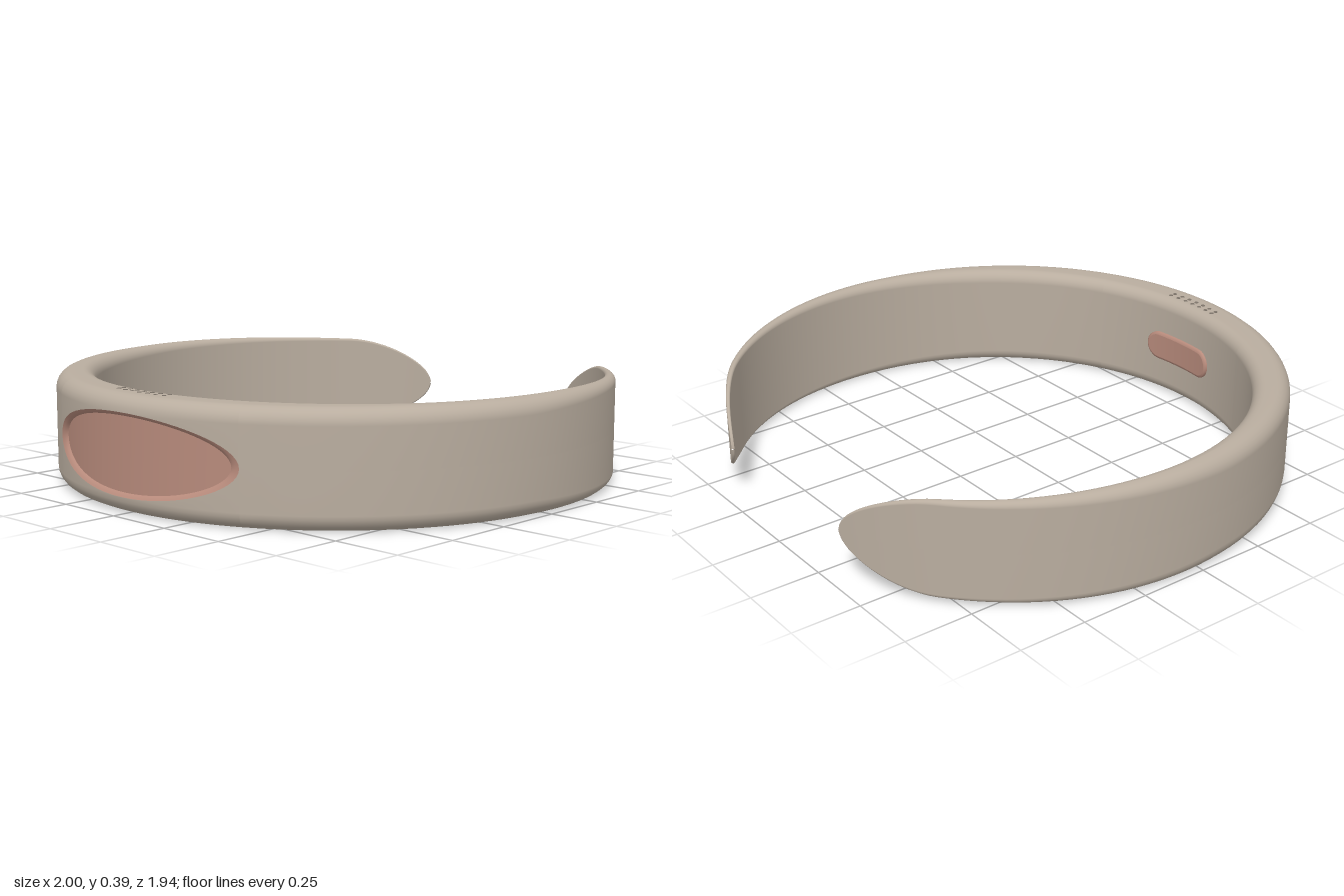
import * as THREE from 'three';

const CY = 0.195;            // mid height of the band
const CZ = -0.035;           // centre of the outer circle
const HOLE = [0.445, 0.139]; // half width and half height of the front recess
const N = 64;                // points around each inset outline

const bodyMat = new THREE.MeshStandardMaterial({ color: 0xb9ad9f });
bodyMat.name = 'warm grey';
const accentMat = new THREE.MeshStandardMaterial({ color: 0xb88b7c });
accentMat.name = 'dusty rose';
const dotMat = new THREE.MeshStandardMaterial({ color: 0x7d746a });
dotMat.name = 'dark taupe';

// Point on a cylinder around the band's axis; angle 0 faces the front
const polar = (a, r, y) => [r * Math.sin(a), CY + y, r * Math.cos(a) + CZ];

// The inner circle is offset, so the band thins toward its open ends
const innerRadius = (a) => -0.075 * Math.cos(a) + Math.sqrt(0.92 ** 2 - (0.075 * Math.sin(a)) ** 2);

function makeMesh(name, pos, idx, mat) {
  const g = new THREE.BufferGeometry();
  g.setAttribute('position', new THREE.Float32BufferAttribute(pos, 3));
  g.setIndex(idx);
  g.computeVertexNormals();
  const m = new THREE.Mesh(g, mat);
  m.name = name;
  return m;
}

// Half height of the band: slight taper, then a rounded tip
function halfHeight(a) {
  const z = Math.cos(a) + CZ;
  let h = 0.195 - 0.02 * (Math.min(z, 0) / 0.8) ** 2;
  if (z < -0.8) h *= Math.sqrt(Math.max(0, 1 - ((z + 0.8) / 0.1735) ** 2));
  return Math.max(h, 0.002);
}

// Cross-section from the upper lip of the recess, over the top, down the inside and back
function section(a) {
  const h = halfHeight(a), ri = innerRadius(a), t = 1 - ri;
  const ro = Math.min(0.055, 0.6 * t, h), rn = Math.min(0.045, 0.38 * t, h);
  const k = 1 - (Math.sin(a) / HOLE[0]) ** 2;
  const e = Math.cos(a) > 0 && k > 1e-9 ? HOLE[1] * Math.sqrt(k) : 0;
  const upper = [[1, e]];
  for (let i = 0; i <= 6; i++) {
    const q = (i / 6) * Math.PI / 2;
    upper.push([1 - ro + ro * Math.cos(q), h - ro + ro * Math.sin(q)]);
  }
  for (let i = 0; i <= 6; i++) {
    const q = (i / 6) * Math.PI / 2;
    upper.push([ri + rn - rn * Math.sin(q), h - rn + rn * Math.cos(q)]);
  }
  const lower = upper.map(([r, y]) => [r, -y]).reverse();
  return [...upper, ...lower].map(([r, y]) => polar(a, r, y));
}

function band() {
  const start = Math.asin(HOLE[0]), end = 2.789, sides = 56;
  const angles = [];
  for (let i = 0; i <= N / 2; i++) angles.push(Math.asin(-HOLE[0] * Math.cos((2 * Math.PI * i) / N)));
  for (let i = 1; i <= sides; i++) {
    const a = start + (end - start) * (1 - (1 - i / sides) ** 1.6);
    angles.push(a);
    angles.unshift(-a);
  }
  const rows = angles.map(section), n = rows[0].length, idx = [];
  for (let i = 0; i < rows.length - 1; i++) {
    for (let j = 0; j < n - 1; j++) {
      const a = i * n + j, b = a + n;
      idx.push(a, b, b + 1, a, b + 1, a + 1);
    }
  }
  return makeMesh('band', rows.flat(2), idx, bodyMat);
}

// Curved inset: nested outlines joined by strips, the last one filled across
function inset(name, rings, outline, inward) {
  const pos = [], idx = [];
  const tri = (a, b, c) => (inward ? idx.push(a, c, b) : idx.push(a, b, c));
  rings.push(rings[rings.length - 1]); // doubled ring keeps the face edge crisp
  rings.forEach(([w, h, radius], k) => {
    for (let i = 0; i < N; i++) {
      const [x, y] = outline((2 * Math.PI * i) / N, w, h);
      const r = radius(x);
      pos.push(...polar(Math.asin(x / r), r, y));
      if (k === rings.length - 1) continue;
      const a = k * N + i, b = k * N + ((i + 1) % N);
      tri(a, b, a + N);
      tri(b, b + N, a + N);
    }
  });
  const base = (rings.length - 1) * N;
  for (let i = 0; i < N / 2; i++) {
    const p = base + i, q = base + ((N - i) % N), s = base + N - i - 1;
    tri(p, p + 1, s);
    if (i > 0) tri(p, s, q);
  }
  return makeMesh(name, pos, idx, accentMat);
}

const ellipse = (t, w, h) => [w * Math.cos(t), h * Math.sin(t)];
const pill = (t, w, h) => {
  const x = w * Math.cos(t), over = Math.max(0, Math.abs(x) - (w - h));
  return [x, Math.sign(Math.sin(t)) * Math.sqrt(Math.max(0, h * h - over * over))];
};

export function createModel() {
  const model = new THREE.Group();
  model.name = 'cuffBracelet';
  model.add(band());

  // Shallow oval recess on the front
  model.add(inset('frontRecess', [
    [HOLE[0], HOLE[1], () => 1],
    [0.432, 0.134, () => 0.996],
    [0.42, 0.129, () => 0.991],
    [0.41, 0.126, () => 0.985],
  ], ellipse, false));

  // Raised pad on the inside of the front
  const off = (d) => (x) => innerRadius(x / 0.845) + d;
  model.add(inset('innerPad', [
    [0.166, 0.056, off(0.006)],
    [0.166, 0.056, off(-0.007)],
    [0.162, 0.052, off(-0.011)],
    [0.156, 0.046, off(-0.013)],
  ], pill, true));

  // Two rows of small holes on the top edge
  const holes = new THREE.Group();
  holes.name = 'topHoles';
  const dot = new THREE.CylinderGeometry(0.008, 0.008, 0.004, 12);
  for (const r of [0.896, 0.917]) {
    for (let i = -3; i <= 3; i++) {
      const x = i * 0.038;
      const m = new THREE.Mesh(dot, dotMat);
      m.name = 'topHole';
      m.position.set(x, 2 * CY - 0.001, Math.sqrt(r * r - x * x) + CZ);
      holes.add(m);
    }
  }
  model.add(holes);
  return model;
}
